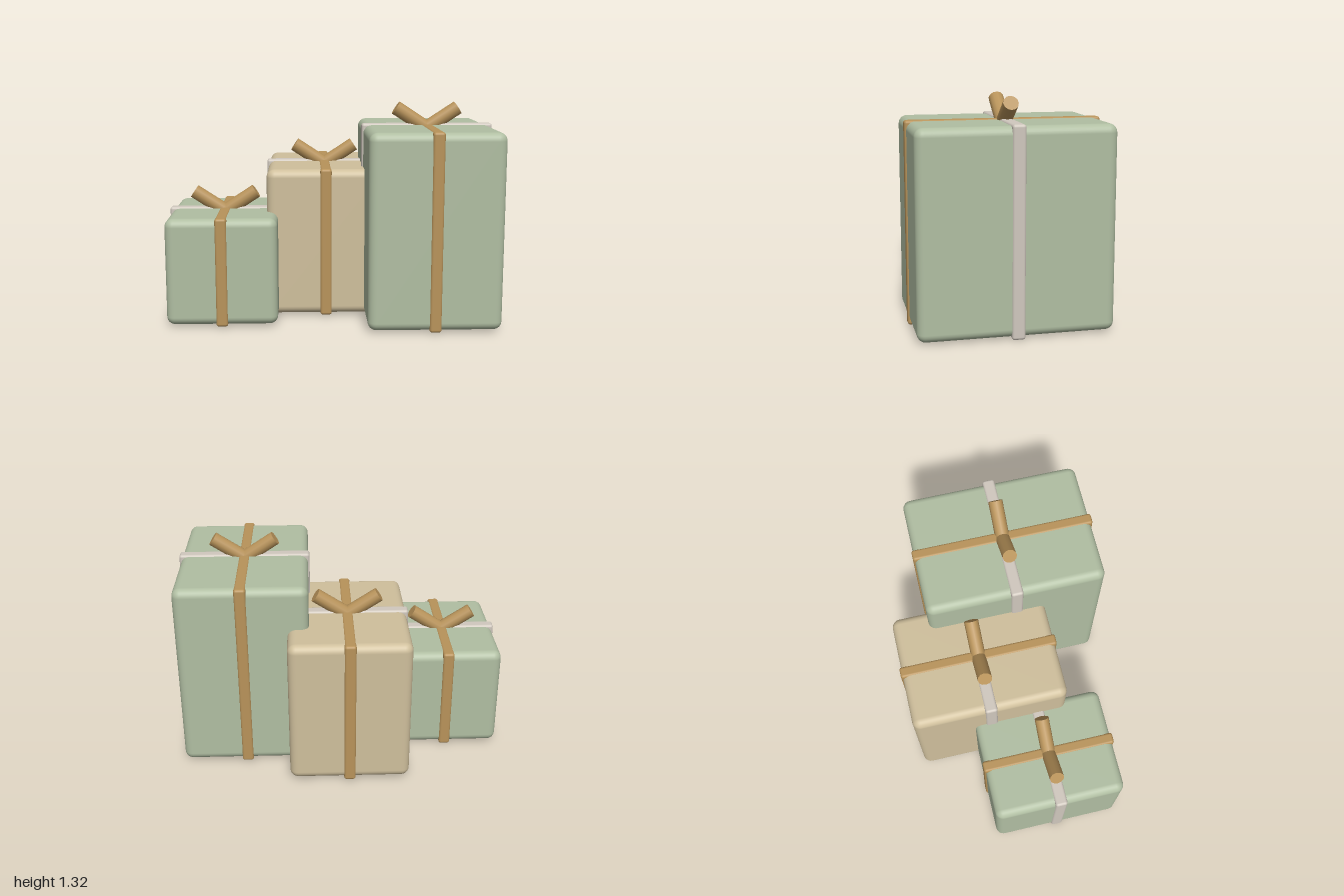
import * as THREE from 'three';
import { RoundedBoxGeometry } from 'three/addons/geometries/RoundedBoxGeometry.js';

const material = (name, color) => {
  const m = new THREE.MeshStandardMaterial({ color });
  m.name = name;
  return m;
};

export function createModel() {
  const sage = material('sage paper', 0xb0bea2);
  const sand = material('sand paper', 0xcfbf9c);
  const gold = material('gold ribbon', 0xb8935a);
  const silver = material('pale ribbon', 0xd0c8be);

  const model = new THREE.Group();
  model.name = 'giftBoxes';

  const block = (parent, name, mat, w, h, d, r, y) => {
    const mesh = new THREE.Mesh(new RoundedBoxGeometry(w, h, d, 4, r), mat);
    mesh.name = name;
    mesh.position.y = y;
    parent.add(mesh);
  };

  // One wrapped box with two ribbon bands and a two-armed bow
  const gift = (name, paper, x, z, w, h, d) => {
    const g = new THREE.Group();
    g.name = name;
    g.position.set(x, 0, z);
    const mid = 0.01 + h / 2;
    block(g, 'box', paper, w, h, d, 0.05, mid);
    block(g, 'lengthwiseRibbon', gold, 0.07, h + 0.01, d + 0.02, 0.016, mid);
    block(g, 'crosswiseRibbon', silver, w + 0.02, h + 0.02, 0.075, 0.016, mid);

    // Bow arms rise outward from the ribbon crossing
    const tilt = 0.58, length = 0.23;
    for (const side of [-1, 1]) {
      const arm = new THREE.Mesh(new THREE.CylinderGeometry(0.044, 0.044, length, 12), gold);
      arm.name = side > 0 ? 'leftBowArm' : 'rightBowArm';
      arm.rotation.z = -side * (Math.PI / 2 - tilt);
      arm.position.set(
        side * Math.cos(tilt) * length / 2,
        h - 0.01 + Math.sin(tilt) * length / 2,
        0
      );
      g.add(arm);
    }
    model.add(g);
  };

  gift('smallGift', sage, -0.661, 0.107, 0.665, 0.645, 0.81);
  gift('mediumGift', sand, -0.035, -0.19, 0.725, 0.905, 0.96);
  gift('tallGift', sage, 0.595, 0.11, 0.79, 1.163, 1.11);

  return model;
}
